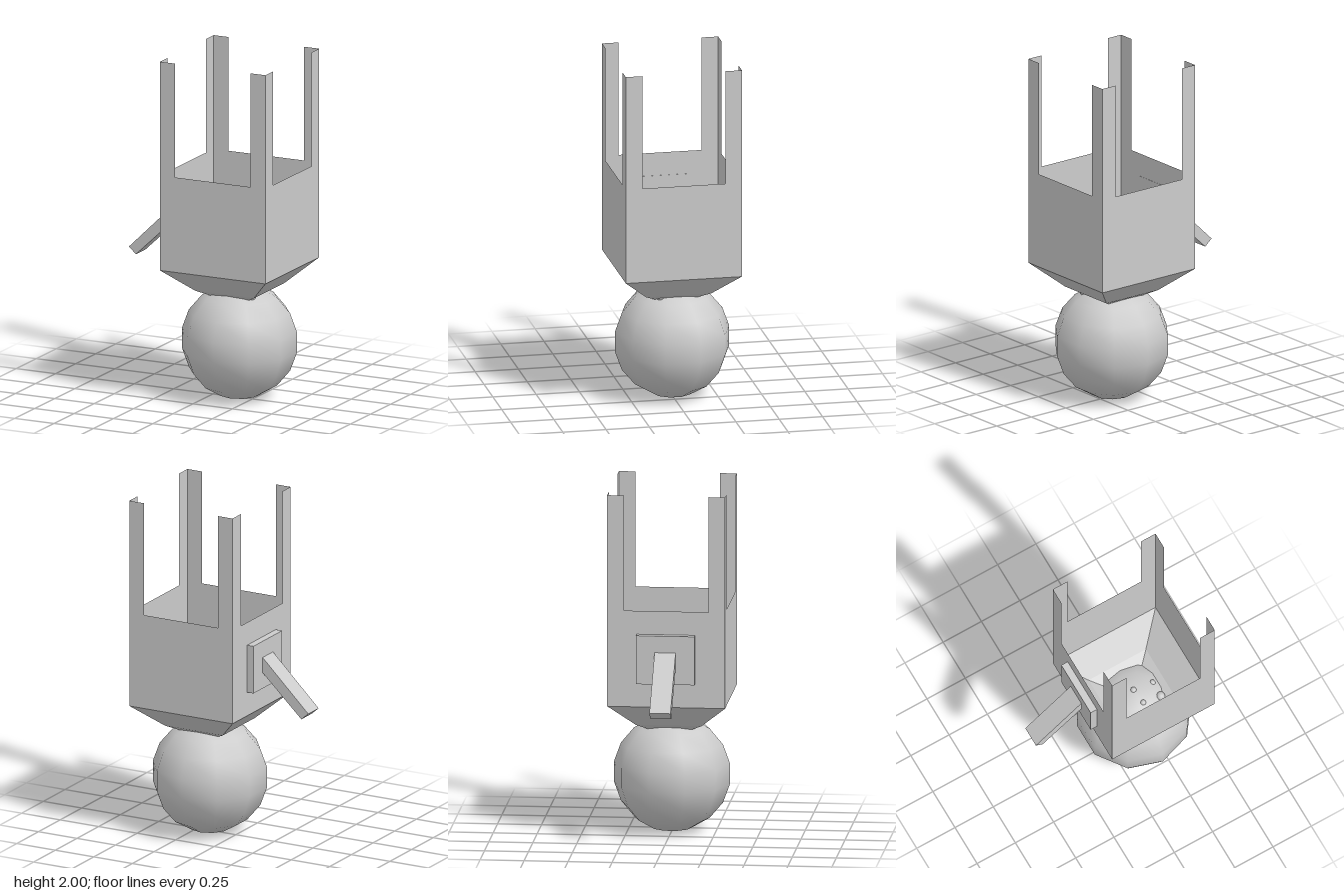
import * as THREE from 'three';

const CX = 0.168;   // centre line of the hopper
const HALF = 0.335; // half width of the hopper

export function createModel() {
  const model = new THREE.Group();
  const smooth = new THREE.MeshStandardMaterial({ color: 0xcccccc });
  const sheet = new THREE.MeshStandardMaterial({ color: 0xcccccc, flatShading: true, side: THREE.DoubleSide });

  const add = (name, geometry, material, x = 0, y = 0, z = 0) => {
    const mesh = new THREE.Mesh(geometry, material);
    mesh.name = name;
    mesh.position.set(x, y, z);
    model.add(mesh);
    return mesh;
  };
  const polygon = (points) => new THREE.Shape(points.map(([x, y]) => new THREE.Vector2(x, y)));

  // Four thin walls; each carries half of two L-shaped corner posts
  const inner = HALF - 0.095;
  const wall = polygon([
    [-HALF, 0.78], [HALF, 0.78], [HALF, 2], [inner, 2],
    [inner, 1.335], [-inner, 1.335], [-inner, 2], [-HALF, 2],
  ]);
  for (let i = 0; i < 4; i++) {
    const geometry = new THREE.ShapeGeometry(wall).translate(0, 0, HALF).rotateY(i * Math.PI / 2);
    add('hopperWall', geometry, sheet, CX);
  }

  // Open square funnel in two slopes beneath the walls
  const funnel = (name, topHalf, bottomHalf, topY, bottomY) => {
    const geometry = new THREE.CylinderGeometry(
      topHalf * Math.SQRT2, bottomHalf * Math.SQRT2, topY - bottomY, 4, 1, true).rotateY(Math.PI / 4);
    add(name, geometry, sheet, CX, (topY + bottomY) / 2);
  };
  funnel('upperFunnel', HALF, 0.187, 0.78, 0.645);
  funnel('lowerFunnel', 0.187, 0.115, 0.645, 0.605);

  // Large ball closing the funnel
  add('ball', new THREE.SphereGeometry(0.335, 10, 9).rotateY(Math.PI / 2), smooth, CX, 0.335);

  // Little beads resting in the top of the ball
  const beads = [
    [0.168, 0.662, -0.004, 0.018], [0.287, 0.636, 0.003, 0.018],
    [0.18, 0.649, 0.085, 0.017], [0.29, 0.624, 0.092, 0.026],
  ];
  for (const [x, y, z, r] of beads) add('bead', new THREE.SphereGeometry(r, 10, 8), smooth, x, y, z);

  // Mounting plate and slanted lever on the right side
  add('leverPlate', new THREE.BoxGeometry(0.043, 0.28, 0.332), sheet, -0.187, 1.06, -0.002);
  const lever = polygon([[-0.505, 0.815], [-0.46, 0.776], [-0.19, 1.031], [-0.19, 1.122]]);
  add('lever', new THREE.ExtrudeGeometry(lever, { depth: 0.12, bevelEnabled: false }), sheet, 0, 0, -0.062);

  return model;
}
